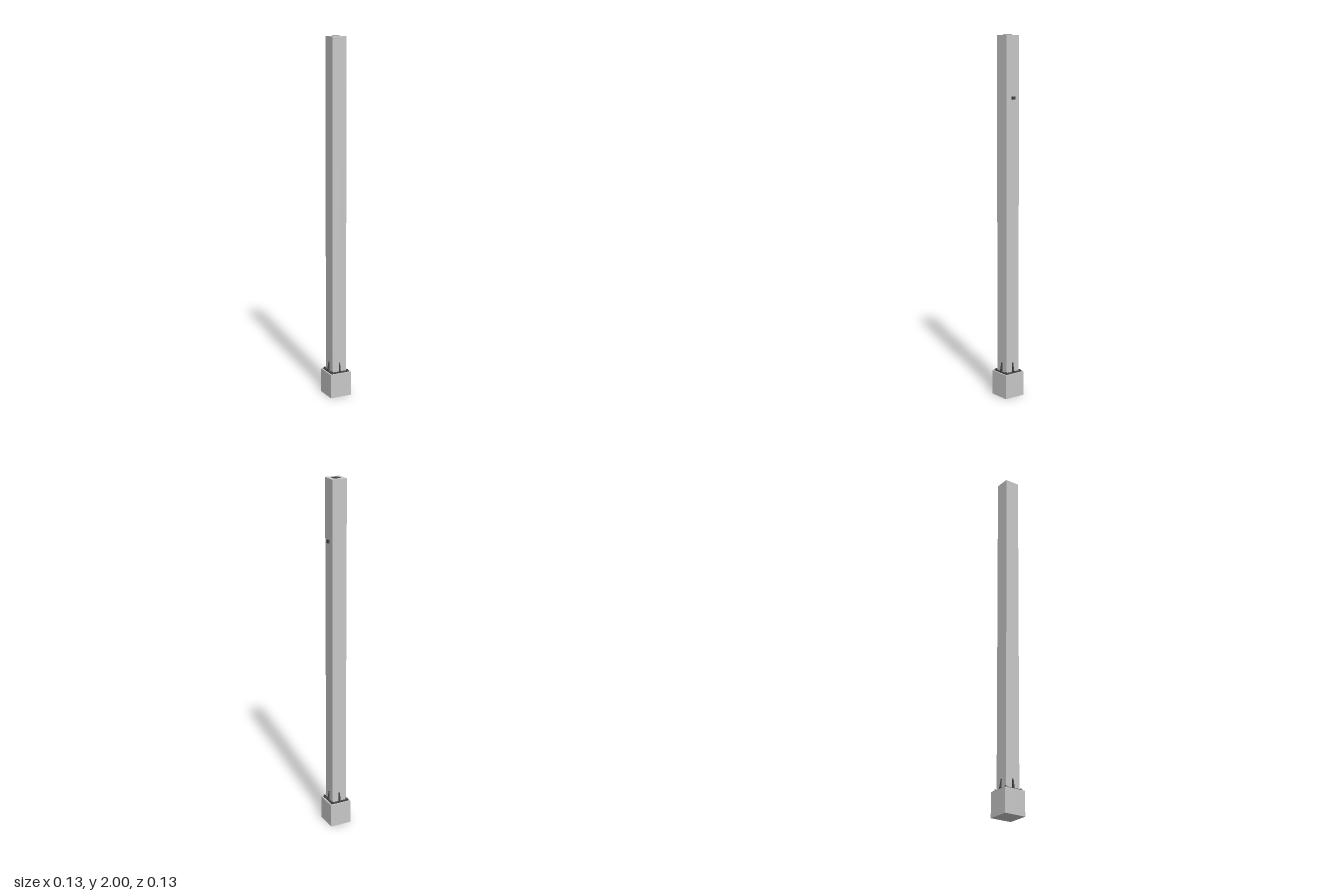
import * as THREE from 'three';

export function createModel() {
  const model = new THREE.Group();
  const concrete = new THREE.MeshStandardMaterial({ color: 0xc8c8c8 });
  concrete.name = 'light grey concrete';
  const steel = new THREE.MeshStandardMaterial({ color: 0x424247 });
  steel.name = 'dark grey steel';

  const add = (name, geometry, material, x, y, z, parent = model) => {
    const mesh = new THREE.Mesh(geometry, material);
    mesh.name = name;
    mesh.position.set(x, y, z);
    parent.add(mesh);
    return mesh;
  };
  const box = (name, w, h, d, material, x, y, z) =>
    add(name, new THREE.BoxGeometry(w, h, d), material, x, y, z);

  // Footing, steel base plate and tall square post
  box('footing', 0.126, 0.137, 0.126, concrete, 0, 0.0685, 0);
  box('basePlate', 0.109, 0.005, 0.109, steel, 0, 0.1395, 0);
  box('post', 0.084, 1.857, 0.084, concrete, 0, 1.0705, 0);

  // Dark square set in the top of the post
  box('topPlate', 0.039, 0.001, 0.039, steel, 0, 1.9995, 0);

  // One triangular stiffener in the middle of each side
  const profile = new THREE.Shape();
  profile.moveTo(0.041, 0.14);
  profile.lineTo(0.0535, 0.14);
  profile.lineTo(0.0535, 0.147);
  profile.lineTo(0.044, 0.195);
  profile.lineTo(0.041, 0.195);
  const finGeometry = new THREE.ExtrudeGeometry(profile, { depth: 0.007, bevelEnabled: false });
  finGeometry.translate(0, 0, -0.0035);
  for (let i = 0; i < 4; i++) {
    const fin = add('stiffener', finGeometry, steel, 0, 0, 0);
    fin.rotation.y = i * Math.PI / 2;
  }

  // Anchor bolts at the plate corners
  const boltGeometry = new THREE.CylinderGeometry(0.004, 0.004, 0.008, 12);
  for (const x of [-0.0475, 0.0475]) {
    for (const z of [-0.0475, 0.0475]) add('anchorBolt', boltGeometry, steel, x, 0.145, z);
  }

  // Small bracket high on the left face
  box('bracket', 0.011, 0.017, 0.019, steel, 0.0465, 1.667, 0);

  return model;
}
